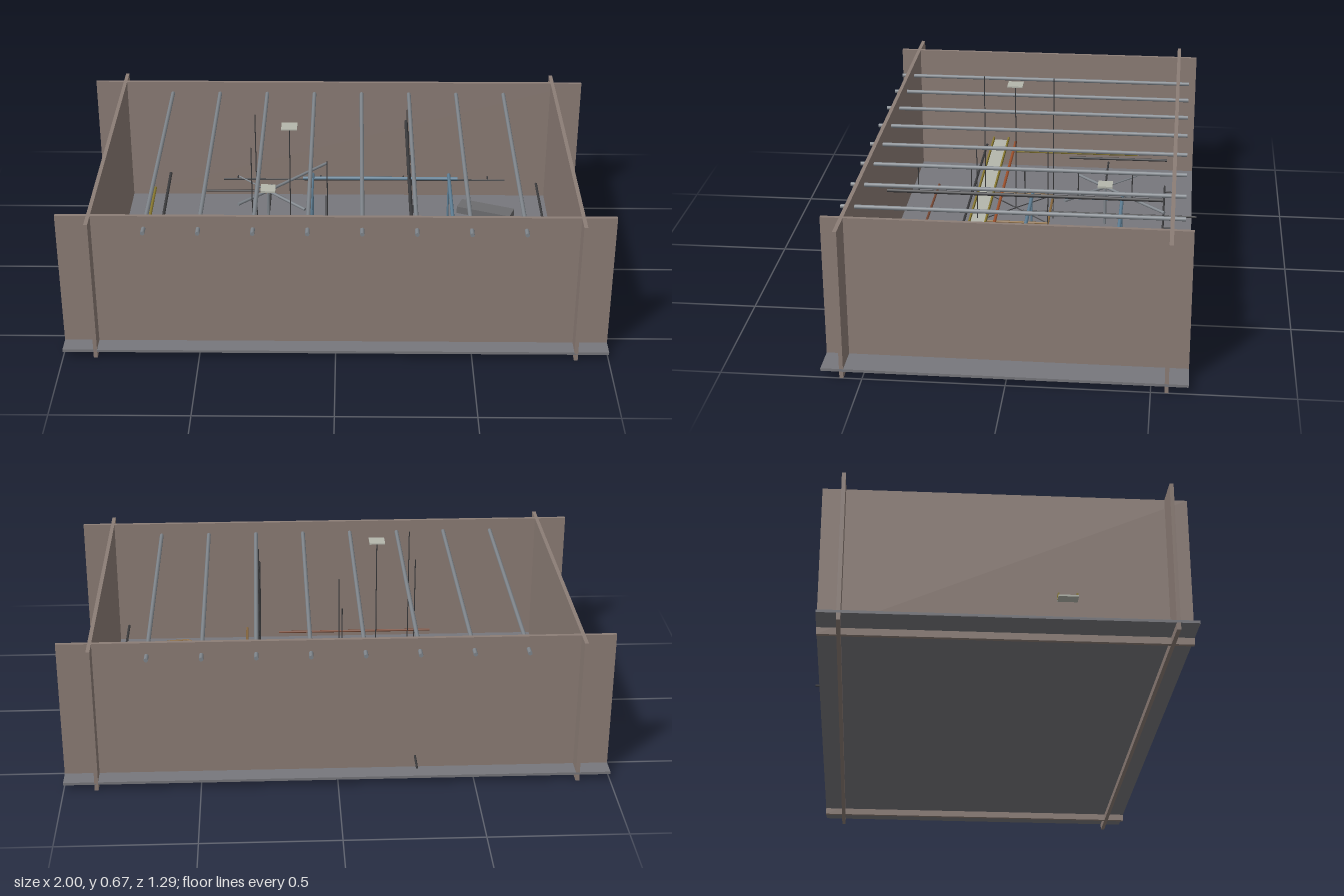
import * as THREE from 'three';

const mat = (color) => new THREE.MeshStandardMaterial({ color });
const wallMat = mat(0x8c7d76), floorMat = mat(0x77777c), steel = mat(0x80868c), blue = mat(0x5f7f95),
  dark = mat(0x3c3c3e), brown = mat(0x7a4a36), orange = mat(0xa0522d), yellow = mat(0x8a7a30),
  pale = mat(0xb4b6ac), tan = mat(0x8a6a40);

export function createModel() {
  const root = new THREE.Group();

  const box = (name, m, size, pos, parent = root) => {
    const mesh = new THREE.Mesh(new THREE.BoxGeometry(...size), m);
    mesh.name = name;
    mesh.position.set(...pos);
    parent.add(mesh);
    return mesh;
  };

  // round bar between two points
  const rod = (name, m, a, b, r = 0.005, parent = root) => {
    const p = new THREE.Vector3(...a), q = new THREE.Vector3(...b);
    const d = q.clone().sub(p);
    const mesh = new THREE.Mesh(new THREE.CylinderGeometry(r, r, d.length(), 8), m);
    mesh.name = name;
    mesh.position.copy(p).add(q).multiplyScalar(0.5);
    mesh.quaternion.setFromUnitVectors(new THREE.Vector3(0, 1, 0), d.normalize());
    parent.add(mesh);
    return mesh;
  };

  const group = (name) => {
    const g = new THREE.Group();
    g.name = name;
    root.add(g);
    return g;
  };

  // interlocking floor and wall panels
  box('floorPanel', floorMat, [2, 0.01, 1.275], [0, 0.03, 0.0075]);
  box('frontWall', wallMat, [2, 0.56, 0.014], [0, 0.28, 0.572]);
  box('backWall', wallMat, [2, 0.56, 0.014], [0, 0.28, -0.555]);
  for (const s of [-1, 1])
    box(s > 0 ? 'leftWall' : 'rightWall', wallMat, [0.014, 0.56, 1.275], [s * 0.88, 0.28, 0.0075]);

  // ceiling bars passing through the long walls
  const bars = group('ceilingBars');
  for (let i = 0; i < 8; i++) {
    const x = -0.685 + i * 0.195;
    rod('ceilingBar', steel, [x, 0.51, -0.6], [x, 0.51, 0.615], 0.008, bars);
  }

  // hanging rail below one ceiling bar
  const rail = group('hangingRail');
  rod('rail', dark, [0.28, 0.4, -0.515], [0.28, 0.4, 0.52], 0.007, rail);
  for (const z of [-0.4, -0.2, 0, 0.2, 0.4])
    rod('hanger', dark, [0.28, 0.4, z], [0.28, 0.51, z], 0.002, rail);

  // blue rectangular frame
  const frame = group('blueFrame');
  for (const z of [-0.35, 0.01])
    rod('longBar', blue, [-0.145, 0.22, z], [0.49, 0.22, z], 0.007, frame);
  for (const x of [-0.105, 0.455])
    rod('shortBar', blue, [x, 0.228, -0.37], [x, 0.228, 0.025], 0.007, frame);
  for (const x of [-0.105, 0.455])
    for (const z of [-0.35, 0.01])
      rod('frameLeg', blue, [x, 0.035, z], [x, 0.22, z], 0.004, frame);

  // hub with radiating arms
  const hub = group('armHub');
  box('hubPlate', pale, [0.06, 0.008, 0.06], [-0.285, 0.21, -0.275], hub);
  rod('hubPost', steel, [-0.285, 0.035, -0.275], [-0.285, 0.21, -0.275], 0.006, hub);
  rod('throughArm', dark, [-0.285, 0.08, -0.65], [-0.285, 0.08, 0.06], 0.004, hub);
  rod('sideArm', dark, [-0.285, 0.2, -0.275], [-0.545, 0.2, -0.275], 0.004, hub);
  for (const [x, z, r] of [[-0.4, -0.16, 0.006], [-0.05, -0.52, 0.006], [-0.13, -0.12, 0.006], [-0.41, -0.4, 0.003]])
    rod('diagonalArm', steel, [-0.285, 0.2, -0.275], [x, 0.2, z], r, hub);

  // square stand with a raised plate on a thin post
  const stand = group('squareStand');
  box('topPlate', pale, [0.06, 0.005, 0.06], [-0.18, 0.67, 0.08], stand);
  rod('post', dark, [-0.18, 0.14, 0.08], [-0.18, 0.67, 0.08], 0.002, stand);
  const corners = [[-0.318, -0.06], [-0.04, -0.06], [-0.04, 0.22], [-0.318, 0.22]];
  corners.forEach(([x, z], i) => {
    const [x2, z2] = corners[(i + 1) % 4];
    rod('standSide', tan, [x, 0.14, z], [x2, 0.14, z2], 0.005, stand);
    rod('cornerRod', dark, [x, 0.035, z], [x, x < -0.1 ? 0.65 : 0.45, z], 0.002, stand);
    rod('standBrace', dark, [-0.18, 0.14, 0.08], [x, 0.14, z], 0.002, stand);
  });

  // long tray reaching through the end wall
  const tray = group('tray');
  box('trayFloor', pale, [1.4, 0.006, 0.07], [-0.23, 0.15, 0.215], tray);
  for (const z of [0.183, 0.247])
    box('trayEdge', yellow, [1.37, 0.015, 0.006], [-0.23, 0.16, z], tray);

  // back rail with short posts
  const backRail = group('backRail');
  rod('backRailBar', dark, [-0.485, 0.125, -0.515], [0.7, 0.125, -0.515], 0.004, backRail);
  for (const x of [-0.425, -0.075, 0.275, 0.63])
    rod('backRailBracket', dark, [x, 0.125, -0.55], [x, 0.125, -0.515], 0.003, backRail);

  // loose rods along the length and the width
  rod('orangeRod', orange, [-0.86, 0.15, 0.15], [0.41, 0.15, 0.15], 0.006);
  rod('darkRod', dark, [-0.82, 0.15, 0.272], [0.37, 0.15, 0.272], 0.005);
  rod('brownRod', brown, [-0.43, 0.12, 0.43], [0.2, 0.12, 0.43], 0.005);
  rod('yellowRod', yellow, [-0.76, 0.15, -0.39], [-0.755, 0.15, 0.14], 0.006);
  rod('sideRod', dark, [-0.708, 0.15, -0.52], [-0.703, 0.15, -0.1], 0.006);
  rod('shortRod', tan, [0.333, 0.12, 0.27], [0.333, 0.12, 0.475], 0.005);
  rod('endRod', dark, [0.825, 0.15, -0.44], [0.825, 0.15, 0.455], 0.005);

  // eight-sided wheel with spokes
  const wheel = group('wheel');
  const at = (i, r = 0.105) => {
    const a = (i * Math.PI) / 4 + 0.25;
    return [0.607 + r * Math.cos(a), 0.12, 0.268 + r * Math.sin(a)];
  };
  for (let i = 0; i < 8; i++) {
    rod('rimSegment', tan, at(i), at(i + 1), 0.005, wheel);
    if (i % 2) rod('spoke', dark, at(0, 0), at(i), 0.002, wheel);
  }
  rod('wheelAxle', steel, [0.607, 0.035, 0.268], [0.607, 0.13, 0.268], 0.006, wheel);

  // turned slab
  box('turnedSlab', mat(0x6c6c6e), [0.225, 0.03, 0.07], [0.607, 0.1, -0.295]).rotation.y = -0.37;

  return root;
}
